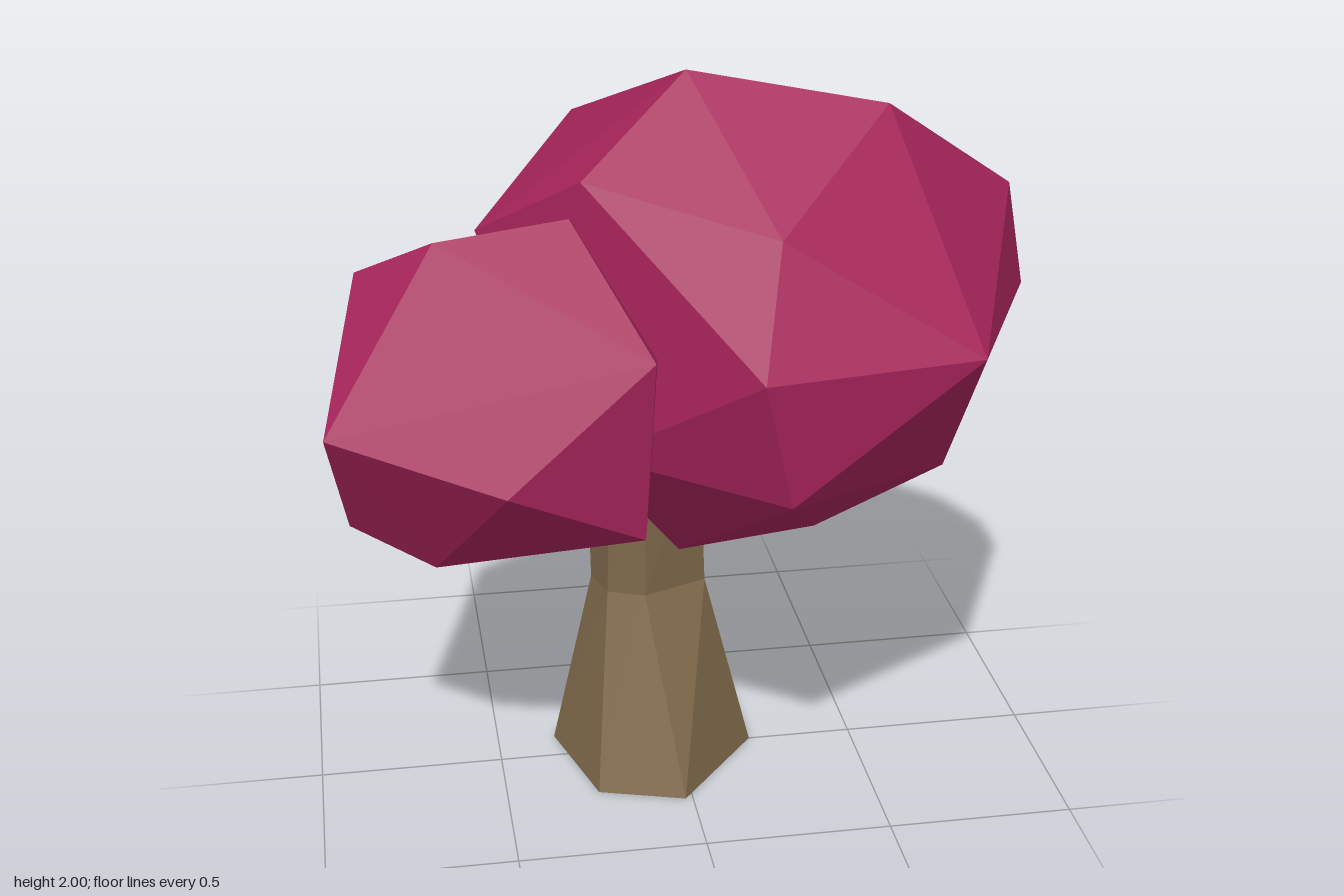
import * as THREE from 'three';
import { ConvexGeometry } from 'three/addons/geometries/ConvexGeometry.js';

const leafMaterial = new THREE.MeshStandardMaterial({ color: 0xa52459 });
leafMaterial.name = 'crimson leaves';
leafMaterial.flatShading = true;
const barkMaterial = new THREE.MeshStandardMaterial({ color: 0x7f694b });
barkMaterial.name = 'brown bark';
barkMaterial.flatShading = true;

// Faceted foliage mass spanned by its corner points
function foliage(name, corners) {
  const points = corners.map(([x, y, z]) => new THREE.Vector3(x, y, z));
  const mesh = new THREE.Mesh(new ConvexGeometry(points), leafMaterial);
  mesh.name = name;
  return mesh;
}

// Closed loft through rings of equal length, listed from the bottom up
function loft(rings) {
  const positions = [];
  const n = rings[0].length;
  const tri = (...corners) => corners.forEach((c) => positions.push(...c));
  const centre = (ring) => [0, 1, 2].map((k) => ring.reduce((s, p) => s + p[k], 0) / n);
  const top = rings[rings.length - 1];
  for (let i = 0; i < n; i++) {
    const j = (i + 1) % n;
    for (let r = 0; r < rings.length - 1; r++) {
      const a = rings[r], b = rings[r + 1];
      tri(a[i], b[i], a[j]);
      tri(a[j], b[i], b[j]);
    }
    tri(centre(rings[0]), rings[0][i], rings[0][j]);
    tri(centre(top), top[j], top[i]);
  }
  const geometry = new THREE.BufferGeometry();
  geometry.setAttribute('position', new THREE.Float32BufferAttribute(positions, 3));
  geometry.computeVertexNormals();
  return geometry;
}

export function createModel() {
  const tree = new THREE.Group();
  tree.name = 'tree';

  // Six-sided trunk with a flared foot
  const trunk = new THREE.Mesh(loft([
    [[0.21, 0, 0], [-0.02, 0, 0.28], [-0.25, 0, 0.21], [-0.34, 0, -0.1], [-0.13, 0, -0.37], [0.17, 0, -0.2]],
    [[0.08, 0.52, -0.01], [-0.1, 0.53, 0.08], [-0.2, 0.54, 0.06], [-0.23, 0.53, -0.06], [-0.12, 0.54, -0.23], [0.09, 0.4, -0.18]],
    [[0.06, 0.98, 0.01], [-0.1, 0.98, 0.08], [-0.19, 0.98, 0.07], [-0.24, 0.98, -0.04], [-0.14, 0.98, -0.17], [0.04, 0.98, -0.16]],
  ]), barkMaterial);
  trunk.name = 'trunk';
  tree.add(trunk);

  // Large crown
  tree.add(foliage('mainCrown', [
    [0, 2, 0.14], [0.48, 1.93, 0.27], [-0.28, 1.77, 0.28], [0.16, 1.69, 0.56],
    [0.86, 1.65, 0.07], [0.28, 1.77, -0.57], [-0.2, 1.71, -0.59], [-0.52, 1.57, 0],
    [0.93, 1.35, 0.01], [0.85, 1.35, -0.38], [0.31, 1.33, -0.74], [0.65, 1.39, 0.63],
    [0.09, 1.4, 0.74], [0.17, 1.06, 0.69], [-0.27, 1.1, 0.4], [0.7, 0.89, 0.14],
    [0.3, 0.99, -0.5], [-0.06, 0.89, -0.32], [-0.25, 1.0, -0.32], [-0.3, 1.0, 0.05],
    [0.36, 0.715, 0.1], [-0.03, 0.735, 0.22],
  ]));

  // Small crown on the side
  tree.add(foliage('sideCrown', [
    [-0.93, 1.2, 0.43], [-0.83, 1.52, 0.13], [-0.64, 1.63, 0.26], [-0.31, 1.68, 0.28],
    [-0.15, 1.43, 0.63], [-0.51, 1.12, 0.66], [-0.17, 0.95, 0.58], [-0.77, 1.22, -0.2],
    [-0.31, 1.34, -0.46], [-0.88, 0.88, 0.24], [-0.67, 0.79, 0.33], [-0.55, 0.78, 0.09],
    [-0.36, 0.88, -0.32], [-0.2, 0.81, 0.22], [-0.05, 1.25, 0.05],
  ]));

  return tree;
}
